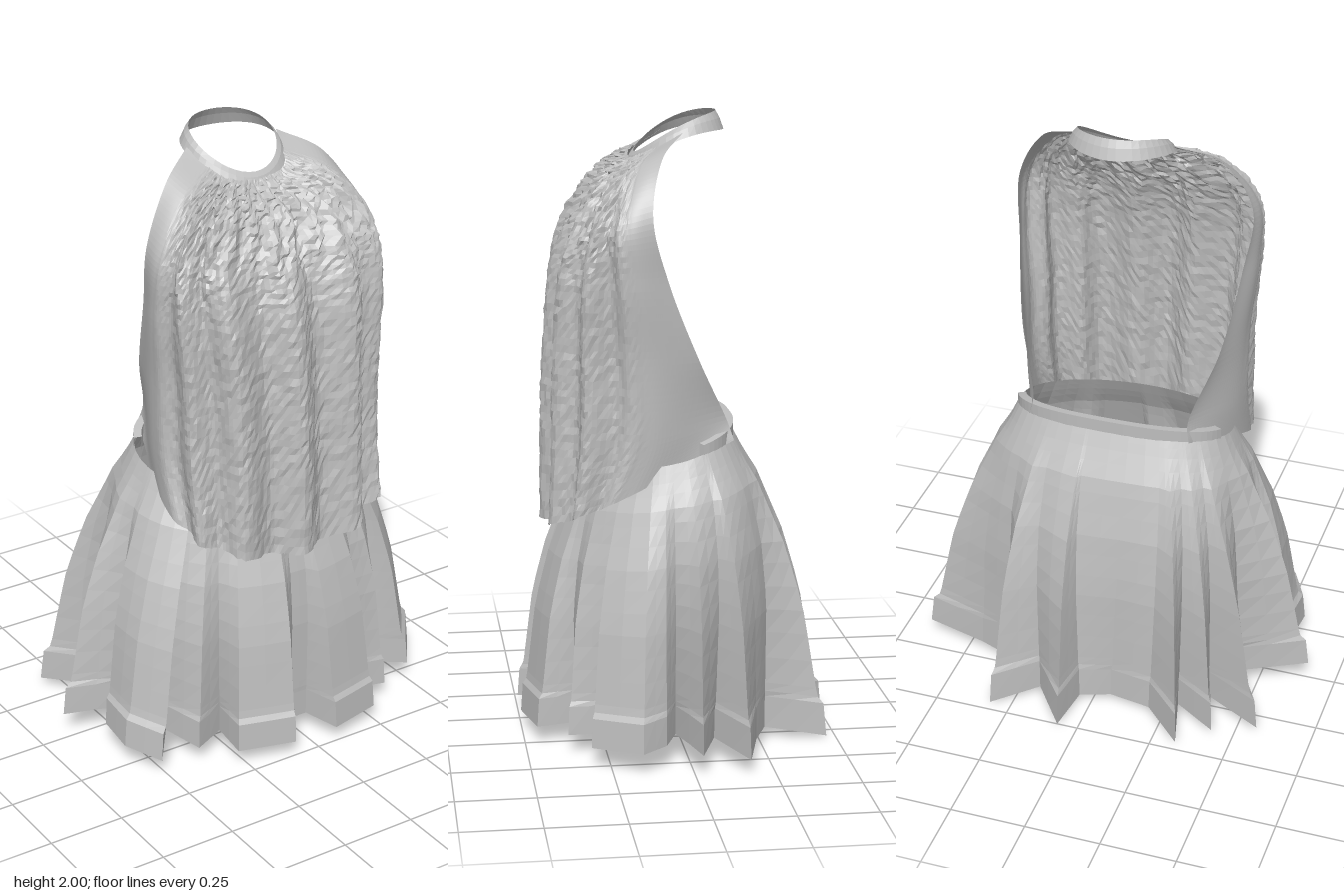
import * as THREE from 'three';

const cloth = new THREE.MeshStandardMaterial({ color: 0xbebebe, side: THREE.DoubleSide });
cloth.name = 'grey cloth';

// Faceted sheet from a rule: point(i, j) for i in 0..nu, j in 0..nv
function sheet(name, nu, nv, point) {
  const pos = [], index = [];
  for (let j = 0; j <= nv; j++) for (let i = 0; i <= nu; i++) pos.push(...point(i, j));
  for (let j = 0; j < nv; j++) for (let i = 0; i < nu; i++) {
    const a = j * (nu + 1) + i, b = a + 1, c = a + nu + 1, d = c + 1;
    index.push(a, c, b, b, c, d);
  }
  const indexed = new THREE.BufferGeometry();
  indexed.setAttribute('position', new THREE.Float32BufferAttribute(pos, 3));
  indexed.setIndex(index);
  const geo = indexed.toNonIndexed();
  geo.computeVertexNormals();
  const mesh = new THREE.Mesh(geo, cloth);
  mesh.name = name;
  return mesh;
}

const lerp = THREE.MathUtils.lerp;
const smooth = THREE.MathUtils.smoothstep;

// Piecewise-linear lookup in a list of [key, value]
function ramp(list, t) {
  for (let k = 1; k < list.length; k++) {
    const [t0, v0] = list[k - 1], [t1, v1] = list[k];
    if (t <= t1) return lerp(v0, v1, (t - t0) / (t1 - t0));
  }
  return list[list.length - 1][1];
}

// Oval around the body at angle a (0 = front), flatter across the back
function oval(a, rx, front, back) {
  const s = Math.sin(a), c = Math.cos(a);
  const e = c < 0 ? 0.75 : 1;
  return [rx * Math.sign(s) * Math.abs(s) ** e, 0.03 + (c < 0 ? -back : front) * Math.abs(c) ** e];
}
const waistY = (z) => 0.935 - 0.3 * Math.min(z, 0) - 0.2 * Math.max(z, 0);

// Pleated hem seen from above, as x, z
const hem = [
  [-0.03, 0.38], [0.03, 0.38], [0.07, 0.5], [0.25, 0.46], [0.24, 0.34], [0.36, 0.37], [0.38, 0.23],
  [0.5, 0.31], [0.61, 0.16], [0.55, 0.08], [0.45, 0.04], [0.66, -0.02], [0.47, -0.08], [0.65, -0.17],
  [0.44, -0.22], [0.3, -0.27], [0.32, -0.47], [0.18, -0.36], [0.07, -0.5], [0.04, -0.36], [-0.06, -0.33],
  [-0.2, -0.35], [-0.33, -0.47], [-0.29, -0.31], [-0.43, -0.39], [-0.38, -0.25], [-0.57, -0.34],
  [-0.43, -0.12], [-0.66, -0.02], [-0.46, 0.05], [-0.57, 0.1], [-0.58, 0.24], [-0.52, 0.37],
  [-0.42, 0.23], [-0.38, 0.37], [-0.27, 0.32], [-0.28, 0.45], [-0.09, 0.5],
];
const flare = [[0, 0], [0.06, 0.2], [0.16, 0.55], [0.35, 0.85], [0.55, 1], [1, 1]];
const pleat = [[0, 0], [0.08, 0.02], [0.2, 0.12], [0.4, 0.36], [0.6, 0.58], [0.84, 0.8], [0.87, 0.84], [0.89, 0.94], [1, 1]];
const skirtRows = [0, 0.03, 0.06, 0.1, 0.15, 0.2, 0.27, 0.35, 0.42, 0.5, 0.58, 0.66, 0.75, 0.84, 0.87, 0.89, 1];

function skirtPoint(i, j) {
  const n = hem.length, k = Math.floor(i / 2);
  const p = hem[k % n], q = hem[(k + 1) % n], f = (i % 2) / 2;
  const x = lerp(p[0], q[0], f), z = lerp(p[1], q[1], f);
  const a = Math.atan2(x / 0.48, (z - 0.03) / 0.37);
  const w = oval(a, 0.36, 0.24, 0.22), v = oval(a, 0.47, 0.36, 0.36);
  const t = skirtRows[j], g = ramp(flare, t), h = ramp(pleat, t);
  const hemY = 0.08 - (z < 0 ? 0.16 : 0.06) * Math.abs(z);
  return [
    lerp(w[0], v[0], g) + (x - v[0]) * h,
    lerp(waistY(w[1]), hemY, t),
    lerp(w[1], v[1], g) + (z - v[1]) * h,
  ];
}

// Blouse rows from neck to hem: front [y, z], corner y, side [x, y, z], back edge [x, y, z]
const blouseRows = [
  [[1.85, 0.13], 1.87, [0.14, 1.9, 0.05], [0.165, 1.94, -0.02]],
  [[1.78, 0.22], 1.81, [0.27, 1.84, 0.13], [0.29, 1.87, 0.06]],
  [[1.65, 0.31], 1.66, [0.385, 1.68, 0.18], [0.385, 1.7, 0.1]],
  [[1.5, 0.36], 1.5, [0.395, 1.5, 0.16], [0.37, 1.5, 0.05]],
  [[1.25, 0.385], 1.25, [0.375, 1.25, 0.13], [0.33, 1.25, -0.05]],
  [[1.0, 0.395], 1.0, [0.37, 1.0, 0.13], [0.26, 1.04, -0.15]],
  [[0.68, 0.4], 0.74, [0.37, 0.82, 0.2], [0.27, 0.98, -0.17]],
];
const V = (x, y, z) => new THREE.Vector3(x, y, z);
// Seven guide curves running down the cloth, right edge to left edge
const guides = [-3, -2, -1, 0, 1, 2, 3].map((g) => new THREE.CatmullRomCurve3(
  blouseRows.map(([front, cornerY, side, edge]) => {
    const s = Math.sign(g), k = Math.abs(g);
    if (k === 0) return V(0, ...front);
    if (k === 1) return V(s * side[0] * 0.78, cornerY, lerp(side[2], front[1], 0.78));
    const p = k === 2 ? side : edge;
    return V(s * p[0], p[1], p[2]);
  })));

function blouse() {
  const nu = 130, nv = 64;
  let seed = 7;
  const random = () => (seed = (seed * 16807) % 2147483647) / 2147483647 - 0.5;
  const rows = [];
  for (let j = 0; j <= nv; j++) {
    const t = j / nv;
    rows.push(new THREE.CatmullRomCurve3(guides.map((c) => c.getPoint(t))));
  }
  return sheet('gatheredBlouse', nu, nv, (i, j) => {
    const u = i / nu, t = j / nv, p = rows[j].getPoint(u);
    const out = V(p.x, 0, p.z + 0.02).normalize();
    // Broad hanging folds, tight gathers below the neck, light crinkle throughout
    const front = smooth(u, 0.14, 0.28) * (1 - smooth(u, 0.72, 0.86));
    const folds = 0.026 * Math.cos((u - 0.5) * 58 + 0.6 + Math.sin(t * 5) * 0.35) * smooth(t, 0.05, 0.5);
    const gather = 0.012 * Math.sin(u * 150 + Math.sin(t * 22) * 1.3) * smooth(t, 0, 0.06) * (1 - smooth(t, 0.2, 0.5));
    const crinkle = random() * lerp(0.022, 0.007, smooth(t, 0.15, 0.5)) * smooth(t, 0, 0.05);
    const d = front * (folds + gather + crinkle);
    return [p.x + out.x * d, p.y + front * random() * 0.006, p.z + out.z * d];
  });
}

export function createModel() {
  const model = new THREE.Group();
  model.name = 'halterDress';

  model.add(sheet('pleatedSkirt', hem.length * 2, skirtRows.length - 1, skirtPoint));
  model.add(blouse());

  // Tilted neck band, narrower at its upper edge
  model.add(sheet('neckBand', 40, 2, (i, j) => {
    const a = (i / 40) * Math.PI * 2, c = Math.cos(a), t = j / 2;
    const r = lerp(0.14, 0.168, t);
    const top = 1.96 - 0.065 * c - 0.025 * c * c, bottom = 1.92 - 0.055 * c - 0.035 * c * c;
    return [r * Math.sin(a), lerp(top, bottom, t) + (t === 0.5 ? 0.006 : 0), -0.015 + r * c * 0.93];
  }));

  // Waist band across the open back, folded over a small thickness
  const section = [[0.005, -0.03], [0.005, 0.03], [-0.02, 0.035], [-0.02, -0.03]];
  model.add(sheet('backWaistBand', 28, 3, (i, j) => {
    const a = Math.PI * lerp(0.6, 1.4, i / 28), [offset, rise] = section[j];
    const [x, z] = oval(a, 0.355 + offset, 0.23, 0.22 + offset);
    return [x, waistY(z) + rise, z];
  }));

  return model;
}
